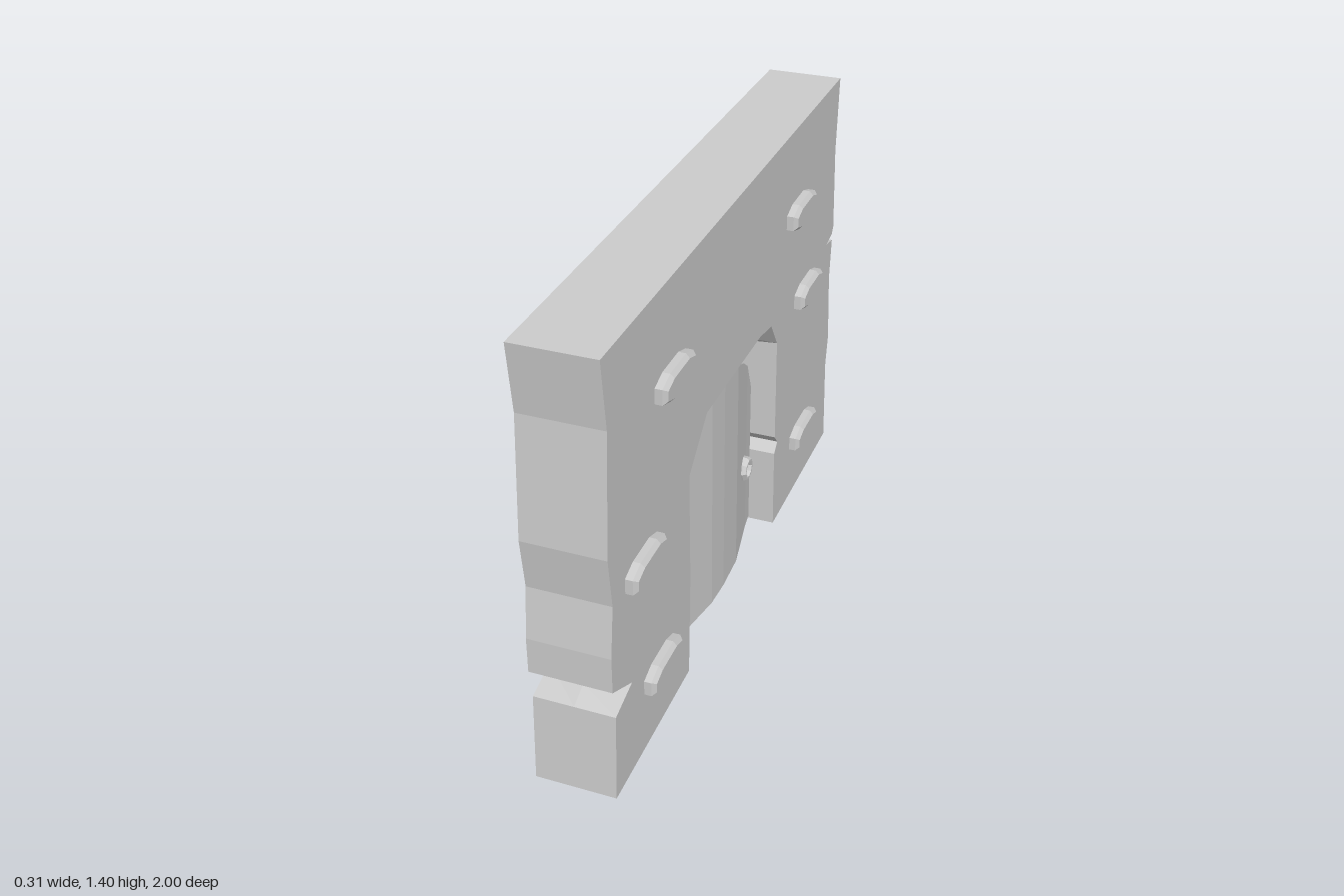
import * as THREE from 'three';

const grey = new THREE.MeshStandardMaterial({ color: 0xcccccc, flatShading: true });

function addMesh(parent, geometry, name) {
  const mesh = new THREE.Mesh(geometry, grey);
  mesh.name = name;
  parent.add(mesh);
  return mesh;
}

// Closed solid through counter-clockwise outlines placed at increasing depths.
function loft(rings) {
  const pos = [];
  const put = (ring, j) => {
    const p = ring.pts[j % ring.pts.length];
    pos.push(p[0], p[1], ring.w);
  };
  for (let i = 0; i + 1 < rings.length; i++) {
    const a = rings[i], b = rings[i + 1];
    for (let j = 0; j < a.pts.length; j++) {
      put(a, j); put(a, j + 1); put(b, j + 1);
      put(a, j); put(b, j + 1); put(b, j);
    }
  }
  const cap = (ring, flip) => {
    const outline = ring.pts.map(p => new THREE.Vector2(p[0], p[1]));
    for (const f of THREE.ShapeUtils.triangulateShape(outline, [])) {
      (flip ? [f[2], f[1], f[0]] : f).forEach(j => put(ring, j));
    }
  };
  cap(rings[0], true);
  cap(rings[rings.length - 1], false);
  const geo = new THREE.BufferGeometry();
  geo.setAttribute('position', new THREE.Float32BufferAttribute(pos, 3));
  geo.computeVertexNormals();
  return geo;
}

// Wall outline as (z, y): chipped ends and a rough arched doorway.
function wallOutline(notch, arch) {
  return [
    [1, 0], [0.985, 0.285], [notch, 0.315], [1, 0.385], [1, 0.5], [0.98, 0.66], [1, 0.82],
    [0.975, 1.19], [1, 1.4],
    [-1, 1.4], [-0.98, 1.15], [-1, 0.86], [-0.985, 0.838], [-0.92, 0.825], [-0.99, 0.812],
    [-0.975, 0.67], [-1, 0.42], [-0.98, 0.31], [-1, 0],
    [-0.385, 0], [-0.378, 0.29], [-0.41, 0.32], [-0.38, 0.355],
    ...arch,
    [0.42, 0.35], [0.435, 0],
  ];
}

function makeWall() {
  const inner = wallOutline(0.92,
    [[-0.375, 0.71], [-0.31, 0.76], [-0.2, 0.825], [0.13, 0.835], [0.28, 0.775], [0.425, 0.69]]);
  const outer = wallOutline(0.87,
    [[-0.375, 0.72], [-0.31, 0.815], [-0.2, 0.835], [0.13, 0.838], [0.28, 0.838], [0.425, 0.71]]);
  const geo = loft([{ w: -0.123, pts: outer }, { w: 0, pts: inner }, { w: 0.123, pts: outer }]);
  return geo.rotateY(-Math.PI / 2);
}

// Door stations: z, top height, half thickness (thickest in the middle).
const stations = [
  [-0.375, 0.54, 0.037], [-0.31, 0.655, 0.046], [-0.215, 0.72, 0.064], [-0.115, 0.77, 0.082],
  [0.02, 0.805, 0.086], [0.12, 0.79, 0.082], [0.25, 0.745, 0.058], [0.365, 0.655, 0.042],
  [0.43, 0.52, 0.037],
];

function doorHalf(z) {
  for (let i = 0; i + 1 < stations.length; i++) {
    const a = stations[i], b = stations[i + 1];
    if (z <= b[0]) return THREE.MathUtils.lerp(a[2], b[2], (z - a[0]) / (b[0] - a[0]));
  }
  return 0.037;
}

function makeDoor() {
  return loft(stations.map(([z, top, h]) => ({
    w: z, pts: [[h, 0.015], [h, top], [-h, top], [-h, 0.015]],
  })));
}

// Long chamfered block, facing +x.
function makeStud() {
  const s = new THREE.Shape([
    [0.1, -0.015], [0.1, 0.015], [0.055, 0.03], [-0.055, 0.03],
    [-0.1, 0.015], [-0.1, -0.015], [-0.055, -0.03], [0.055, -0.03],
  ].map(p => new THREE.Vector2(...p)));
  return new THREE.ExtrudeGeometry(s, {
    depth: 0.03, bevelEnabled: true, bevelSize: 0.012, bevelThickness: 0.012, bevelSegments: 1,
  }).rotateY(Math.PI / 2);
}

// Half-round hinge plate with three rivets, local origin at its straight edge.
function makeHinge() {
  const hinge = new THREE.Group();
  const s = new THREE.Shape();
  s.moveTo(0, -0.06);
  s.lineTo(0.05, -0.06);
  s.absarc(0.05, 0, 0.06, -Math.PI / 2, Math.PI / 2, false);
  s.lineTo(0, 0.06);
  const plate = new THREE.ExtrudeGeometry(s, { depth: 0.012, bevelEnabled: false, curveSegments: 8 });
  addMesh(hinge, plate.translate(0, 0, -0.008).rotateY(Math.PI / 2), 'hingePlate');
  for (const [z, y] of [[-0.048, 0.04], [-0.073, 0], [-0.048, -0.04]]) {
    const rivet = new THREE.CylinderGeometry(0.009, 0.013, 0.014, 8).rotateZ(-Math.PI / 2);
    addMesh(hinge, rivet, 'hingeRivet').position.set(0.009, y, z);
  }
  return hinge;
}

// Octagonal ring handle, facing +x.
function makeHandle() {
  const profile = [[0.025, 0], [0.042, 0], [0.042, 0.018], [0.036, 0.028], [0.028, 0.028], [0.025, 0.02], [0.025, 0]];
  return new THREE.LatheGeometry(profile.map(p => new THREE.Vector2(...p)), 8).rotateZ(-Math.PI / 2);
}

export function createModel() {
  const model = new THREE.Group();
  addMesh(model, makeWall(), 'wall');
  addMesh(model, makeDoor(), 'door');

  // Fittings repeat on both faces; the second set is turned about y with z mirrored.
  for (const side of [1, -1]) {
    const face = new THREE.Group();
    face.name = side > 0 ? 'leftFittings' : 'rightFittings';
    face.rotation.y = side > 0 ? 0 : Math.PI;
    model.add(face);

    for (const [z, y] of [[0.56, 1.115], [-0.555, 1.115], [-0.665, 0.78],
      [0.785, 0.665], [0.675, 0.225], [-0.665, 0.225]]) {
      addMesh(face, makeStud(), 'wallStud').position.set(0.115, y, z * side);
    }

    // Plates lie along the slope of the door face.
    const slope = Math.atan2(doorHalf(0.265) - doorHalf(0.355), 0.09);
    for (const y of [0.445, 0.14]) {
      const hinge = makeHinge();
      hinge.name = 'hinge';
      hinge.position.set(doorHalf(0.365), y, 0.375 * side);
      hinge.rotation.y = -slope * side;
      if (side < 0) hinge.rotation.set(Math.PI, slope, 0);
      face.add(hinge);
    }

    const handle = addMesh(face, makeHandle(), 'handleRing');
    handle.position.set(doorHalf(-0.24) - 0.006, 0.305, -0.24 * side);
  }
  return model;
}
